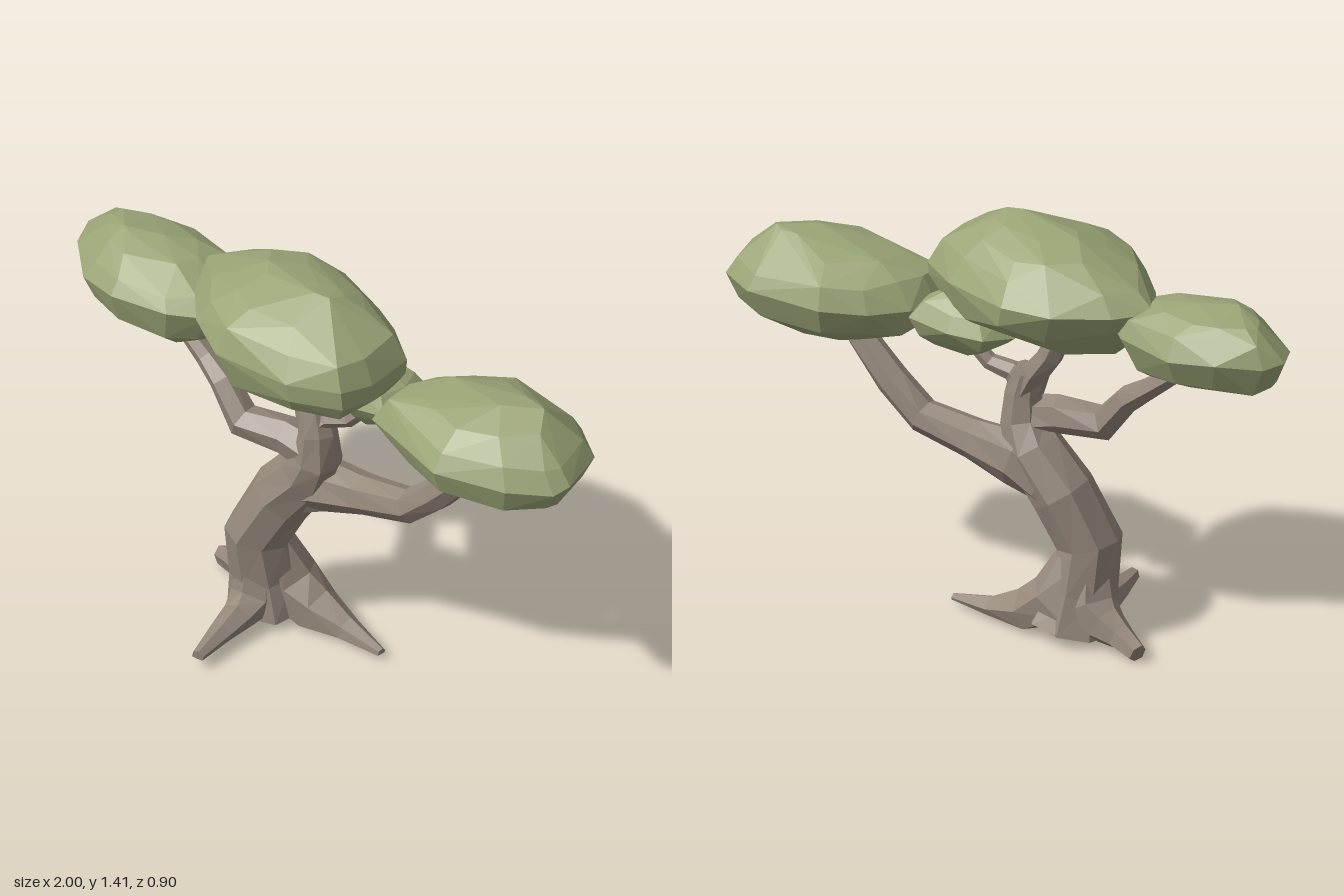
import * as THREE from 'three';
import { ConvexGeometry } from 'three/addons/geometries/ConvexGeometry.js';

const bark = new THREE.MeshStandardMaterial({ color: 0x94877a, flatShading: true });
const leaf = new THREE.MeshStandardMaterial({ color: 0x9aa476, flatShading: true });

let seed = 7;
const rand = () => (seed = (seed * 16807) % 2147483647) / 2147483647;

// Faceted limb through points [x, y, z, radius]; floor flattens its underside
function limb(name, pts, sides = 7, floor = 0) {
  const c = pts.map(p => new THREE.Vector3(p[0], p[1], p[2]));
  const last = c.length - 1;
  const span = c[last].clone().sub(c[0]).normalize();
  const ref = Math.abs(span.z) > 0.7 ? new THREE.Vector3(1, 0, 0) : new THREE.Vector3(0, 0, 1);
  const pos = [], idx = [];
  c.forEach((p, i) => {
    const t = c[Math.min(i + 1, last)].clone().sub(c[Math.max(i - 1, 0)]).normalize();
    const u = ref.clone().addScaledVector(t, -ref.dot(t)).normalize();
    const v = t.clone().cross(u);
    for (let j = 0; j < sides; j++) {
      const a = (j + 0.3) / sides * Math.PI * 2;
      const r = pts[i][3] * (0.98 + 0.1 * rand());
      const q = p.clone().addScaledVector(u, r * Math.cos(a)).addScaledVector(v, r * Math.sin(a));
      pos.push(q.x, Math.max(q.y, floor), q.z);
    }
  });
  pos.push(...c[0].toArray(), ...c[last].toArray());
  const start = c.length * sides;
  for (let j = 0; j < sides; j++) {
    const k = (j + 1) % sides;
    for (let i = 0; i < last; i++) {
      const a = i * sides, b = a + sides;
      idx.push(a + j, a + k, b + k, a + j, b + k, b + j);
    }
    idx.push(start, k, j, start + 1, last * sides + j, last * sides + k);
  }
  const g = new THREE.BufferGeometry();
  g.setAttribute('position', new THREE.Float32BufferAttribute(pos, 3));
  g.setIndex(idx);
  g.computeVertexNormals();
  const m = new THREE.Mesh(g, bark);
  m.name = name;
  return m;
}

// Faceted leaf clump: plan outline [x, z], shrunk about a centre at levels [y, scale, dx, dz]
function clump(name, [cx, cz], outline, levels) {
  const pts = [];
  levels.forEach(([y, s, dx = 0, dz = 0]) => outline.forEach(([x, z]) => {
    const k = s === 1 ? 1 : s * (0.95 + 0.1 * rand());
    const wobble = (rand() - 0.5) * 0.03;
    pts.push(new THREE.Vector3(cx + dx + (x - cx) * k, y + wobble, cz + dz + (z - cz) * k));
  }));
  const m = new THREE.Mesh(new ConvexGeometry(pts), leaf);
  m.name = name;
  return m;
}

export function createModel() {
  const tree = new THREE.Group();
  tree.name = 'tree';

  // Trunk and roots
  tree.add(
    limb('trunk', [
      [-0.225, 0.03, 0.05, 0.135], [-0.235, 0.16, 0.065, 0.112], [-0.24, 0.32, 0.09, 0.108],
      [-0.165, 0.49, 0.045, 0.106], [-0.06, 0.62, 0.015, 0.097], [-0.015, 0.71, 0.02, 0.08],
      [-0.015, 0.81, 0.02, 0.064], [-0.035, 0.89, 0.02, 0.05],
    ], 8, 0.03),
    limb('leftRoot', [
      [-0.22, 0.27, 0.05, 0.07], [-0.18, 0.12, 0.01, 0.1], [-0.07, 0.05, -0.02, 0.083],
      [0.06, 0.03, -0.045, 0.048], [0.22, 0.025, -0.06, 0.016],
    ], 6, 0.022),
    limb('rightRoot', [
      [-0.25, 0.26, 0.07, 0.07], [-0.28, 0.12, 0.045, 0.095], [-0.36, 0.08, 0.04, 0.067],
      [-0.43, 0.06, 0.035, 0.045], [-0.515, 0.03, 0.025, 0.032],
    ], 6, 0.003),
    limb('frontRoot', [
      [-0.22, 0.2, 0.1, 0.07], [-0.21, 0.08, 0.13, 0.08], [-0.18, 0.06, 0.22, 0.056],
      [-0.15, 0.05, 0.31, 0.04], [-0.1, 0.045, 0.44, 0.022],
    ], 6, 0.035),
    limb('backRoot', [
      [-0.22, 0.22, 0.04, 0.07], [-0.2, 0.11, 0.01, 0.08], [-0.19, 0.03, -0.025, 0.085],
    ], 6, 0.03),
  );

  // Branches
  tree.add(
    limb('leftBranch', [
      [-0.2, 0.43, 0.06, 0.07], [-0.12, 0.53, 0.02, 0.09], [-0.02, 0.585, -0.015, 0.092], [0.14, 0.615, -0.055, 0.068],
      [0.32, 0.655, -0.1, 0.056], [0.43, 0.755, -0.125, 0.055], [0.55, 0.88, -0.145, 0.046], [0.62, 0.97, -0.16, 0.038],
    ]),
    limb('rightBranch', [
      [-0.02, 0.72, 0.02, 0.07], [-0.13, 0.745, 0.06, 0.062], [-0.28, 0.745, 0.12, 0.058],
      [-0.375, 0.855, 0.13, 0.047], [-0.45, 0.91, 0.14, 0.036], [-0.55, 0.985, 0.16, 0.029], [-0.6, 1.05, 0.17, 0.025],
    ], 6),
    limb('upperRightFork', [
      [-0.02, 0.8, 0.02, 0.055], [-0.07, 0.89, 0.02, 0.047], [-0.12, 0.96, 0.03, 0.042], [-0.17, 1.07, 0.04, 0.034],
    ], 6),
    limb('upperLeftFork', [
      [-0.02, 0.83, 0.02, 0.05], [0.02, 0.875, 0.0, 0.034], [0.09, 0.895, -0.03, 0.027], [0.16, 0.97, -0.06, 0.022],
    ], 6),
  );

  // Leaf clumps
  tree.add(
    clump('rightLeaves', [-0.66, 0.18], [
      [-1, 0.2], [-0.97, 0.13], [-0.85, 0.03], [-0.7, -0.03], [-0.48, -0.02], [-0.34, 0.08],
      [-0.35, 0.22], [-0.44, 0.31], [-0.63, 0.39], [-0.79, 0.38], [-0.94, 0.29],
    ], [[1.0, 0.45, 0.08], [1.045, 0.82], [1.14, 1], [1.2, 0.86], [1.245, 0.55, -0.04], [1.265, 0.25, -0.08]]),
    clump('middleLeaves', [-0.1, 0.07], [
      [-0.54, 0.08], [-0.46, -0.04], [-0.31, -0.17], [-0.14, -0.22], [0.13, -0.18], [0.29, -0.11],
      [0.33, 0.06], [0.32, 0.18], [0.17, 0.29], [-0.11, 0.36], [-0.28, 0.31], [-0.42, 0.21],
    ], [[1.03, 0.5, -0.03, 0.02], [1.09, 0.83, 0.03], [1.15, 0.95, 0.02], [1.22, 1],
      [1.29, 0.86, 0.01], [1.345, 0.62, 0.02, -0.01], [1.38, 0.36, 0.05, -0.01], [1.4, 0.12, 0.14, -0.03]]),
    clump('smallLeaves', [0.14, -0.08], [
      [-0.05, -0.06], [0.0, -0.16], [0.12, -0.2], [0.28, -0.21], [0.33, -0.12], [0.31, 0.0], [0.18, 0.05], [0.03, 0.03],
    ], [[0.95, 0.45, 0.03], [0.99, 0.82], [1.04, 1], [1.1, 0.75], [1.14, 0.4]]),
    clump('leftLeaves', [0.64, -0.18], [
      [0.28, -0.08], [0.29, -0.19], [0.37, -0.31], [0.49, -0.41], [0.77, -0.45], [0.92, -0.39], [1, -0.23],
      [0.99, -0.17], [0.89, -0.05], [0.68, 0.08], [0.46, 0.06], [0.3, 0.04],
    ], [[0.905, 0.48, -0.04, 0.02], [0.97, 0.85], [1.06, 1], [1.13, 0.87], [1.19, 0.6], [1.225, 0.22, 0.1, -0.05]]),
  );
  return tree;
}
